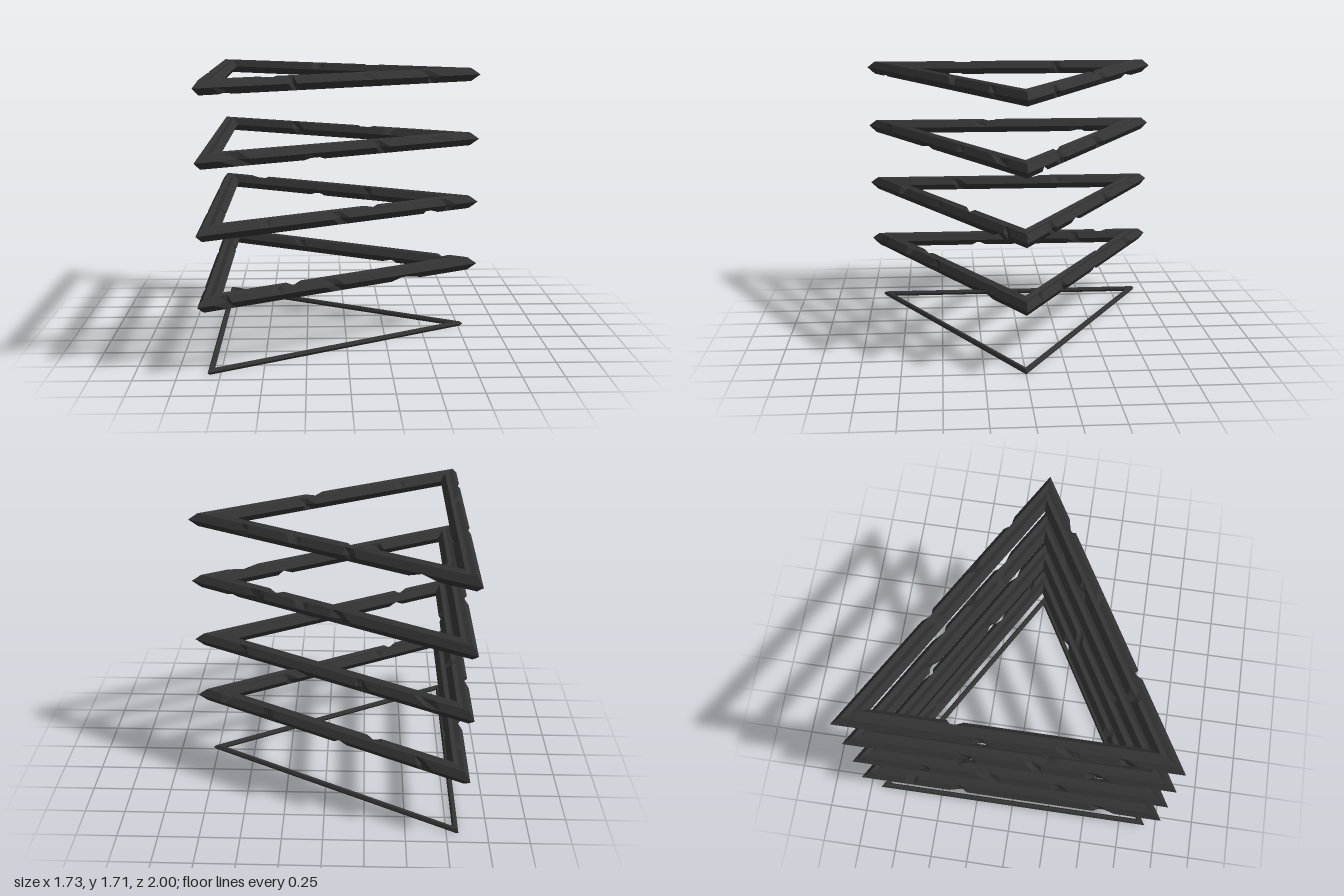
import * as THREE from 'three';

const CENTRE_X = -0.288;   // centroid of the triangles
const MID = 0.517;         // centroid to the middle of a bar
const ROOT3 = Math.sqrt(3);
const material = new THREE.MeshStandardMaterial({ color: 0x333333, flatShading: true });

// Bar cross-sections as [outward, up], counter-clockwise from the outer edge
const thickProfile = [[0.06, 0], [0.03, 0.042], [0, 0.031], [-0.03, 0.042],
  [-0.06, 0], [-0.03, -0.042], [0, -0.031], [0.03, -0.042]];
const thinProfile = [[0.018, 0], [0.009, 0.015], [-0.009, 0.015],
  [-0.018, 0], [-0.009, -0.015], [0.009, -0.015]];

// One mitred bar; t runs -1..1 along it. Chips [t, halfWidth, profilePoint] pull an edge inwards.
function barGeometry(profile, angle, chips) {
  const n = profile.length;
  const cos = Math.cos(angle), sin = Math.sin(angle);
  const stations = [-1, 1];
  chips.forEach(([t, w]) => stations.push(t - w, t, t + w));
  const ts = [...new Set(stations.map((t) => THREE.MathUtils.clamp(t, -1, 1)))].sort((a, b) => a - b);
  const positions = [], index = [];
  ts.forEach((t, s) => {
    profile.forEach(([u, y], i) => {
      let cut = 0;
      for (const [ct, w, p] of chips) {
        if (p === i) cut = Math.max(cut, 1 - Math.abs(t - ct) / w);
      }
      const keep = 1 - 0.48 * cut;
      const r = MID + u * keep;
      const along = t * r * ROOT3;
      positions.push(cos * r - sin * along, y * keep, sin * r + cos * along);
      if (s > 0) {
        const j = (i + 1) % n, a = (s - 1) * n, b = s * n;
        index.push(a + i, a + j, b + j, a + i, b + j, b + i);
      }
    });
  });
  const geometry = new THREE.BufferGeometry();
  geometry.setAttribute('position', new THREE.Float32BufferAttribute(positions, 3));
  geometry.setIndex(index);
  const flat = geometry.toNonIndexed();
  flat.computeVertexNormals();
  return flat;
}

function ring(name, y, profile, chipsPerBar) {
  const group = new THREE.Group();
  group.name = name;
  group.position.set(CENTRE_X, y, 0);
  [['frontBar', Math.PI / 3], ['backBar', -Math.PI / 3], ['sideBar', Math.PI]].forEach(([bar, angle], b) => {
    const mesh = new THREE.Mesh(barGeometry(profile, angle, chipsPerBar[b]), material);
    mesh.name = bar;
    group.add(mesh);
  });
  return group;
}

// Chips as [t, halfWidth] for the front, back and side bar of each thick ring, bottom to top
const chipTable = [
  [[[0.84, 0.06], [0.5, 0.05], [0.08, 0.07], [-0.49, 0.12]],
    [[0.82, 0.04], [0.46, 0.06], [-0.1, 0.05], [-0.7, 0.05]],
    [[-0.62, 0.07], [-0.1, 0.08], [0.35, 0.06], [0.7, 0.05]]],
  [[[0.58, 0.05], [0.04, 0.06], [-0.68, 0.06], [-0.79, 0.04]],
    [[0.64, 0.06], [0.24, 0.07], [-0.26, 0.05], [-0.7, 0.08]],
    [[-0.75, 0.05], [-0.33, 0.06], [0.15, 0.08], [0.55, 0.06]]],
  [[[0.75, 0.1], [0.22, 0.07], [-0.26, 0.05], [-0.69, 0.11]],
    [[0.74, 0.04], [0.52, 0.08], [0.2, 0.06], [-0.1, 0.07]],
    [[-0.55, 0.08], [-0.15, 0.05], [0.25, 0.07], [0.76, 0.05]]],
  [[[0.83, 0.04], [0.37, 0.03], [-0.14, 0.065], [-0.64, 0.05]],
    [[0.6, 0.05], [0.25, 0.06], [-0.16, 0.05], [-0.66, 0.1]],
    [[-0.35, 0.07], [0.15, 0.05], [0.36, 0.06], [-0.7, 0.05]]],
];
const edgeCycle = [0, 1, 0, 7];     // outer edges the chips fall on
const innerCycle = [4, 3, 5];       // inner edges

export function createModel() {
  const model = new THREE.Group();
  model.name = 'triangleStack';
  model.add(ring('thinBaseRing', 0.015, thinProfile, [[], [], []]));
  chipTable.forEach((bars, k) => {
    const chips = bars.map((bar, b) => [
      ...bar.map(([t, w], c) => [t, w, edgeCycle[(c + k + b) % 4]]),
      // smaller chips on the inner edges
      ...[-0.45, 0.3].map((t, c) => [t + 0.09 * ((k * 2 + b + c) % 4), 0.06, innerCycle[(k + b + c) % 3]]),
    ]);
    model.add(ring('chippedRing' + (k + 1), 0.428 + 0.414 * k, thickProfile, chips));
  });
  return model;
}
